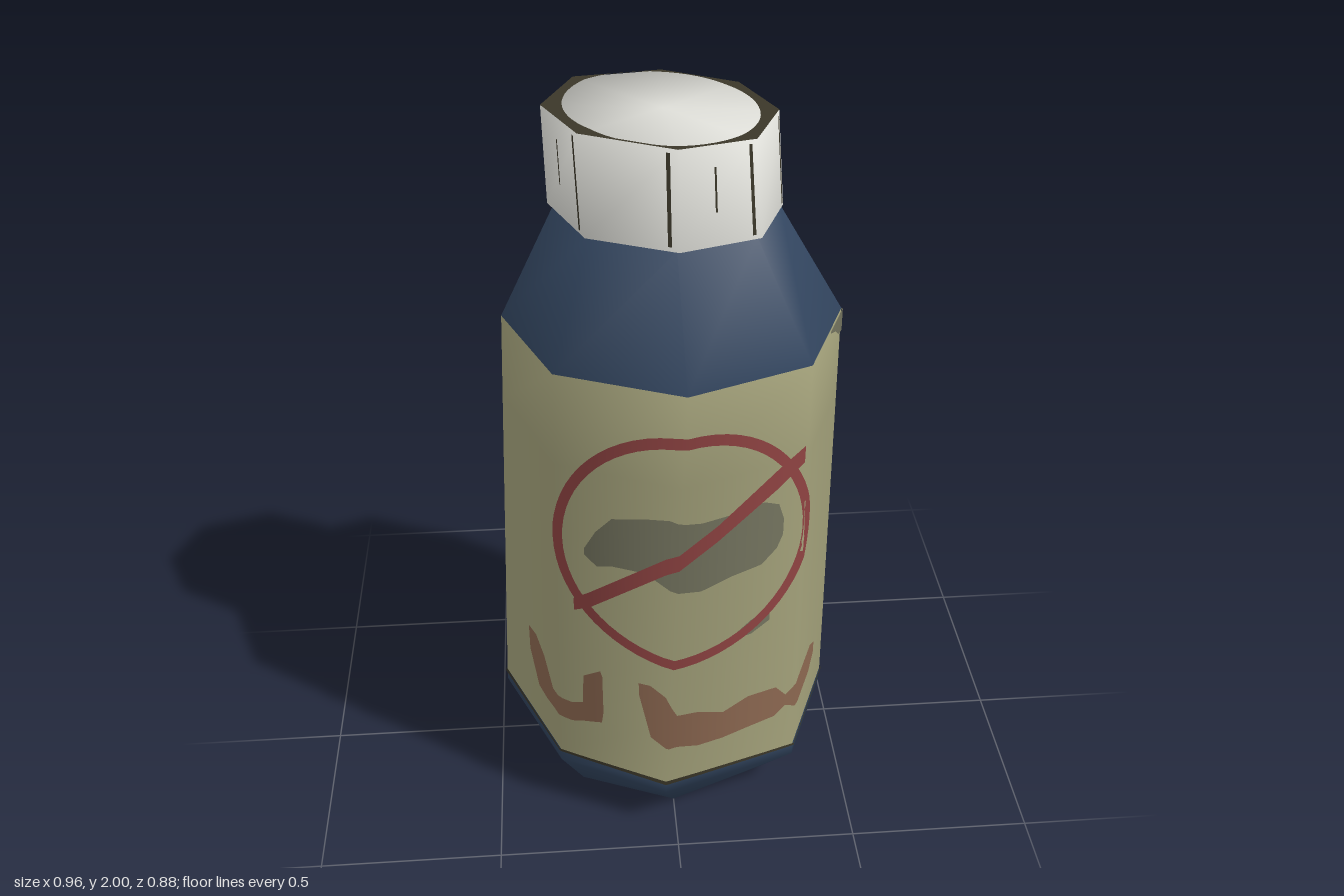
import * as THREE from 'three';

const mat = (name, color, side = THREE.FrontSide) => {
  const m = new THREE.MeshStandardMaterial({ color, side });
  m.name = name;
  return m;
};

// Octagonal rings: x and y at left, half-left, middle, half-right, right; z is the depth radius
const ring = (x, y, z) => ({ x, y, z });
const base = ring([-0.37, -0.26, 0, 0.26, 0.36], [0.02, 0.01, 0, 0.01, 0.015], 0.33);
const lower = ring([-0.475, -0.32, -0.03, 0.345, 0.475], [0.205, 0.17, 0.145, 0.14, 0.14], 0.435);
const upper = ring([-0.415, -0.29, 0.02, 0.33, 0.455], [1.45, 1.46, 1.46, 1.455, 1.435], 0.435);
const neck = ring([-0.27, -0.19, 0.01, 0.205, 0.283], [1.75, 1.745, 1.735, 1.73, 1.73], 0.24);
const capLow = ring([-0.285, -0.2, 0.015, 0.215, 0.29], [1.755, 1.745, 1.735, 1.73, 1.73], 0.25);
const capHigh = ring([-0.29, -0.21, 0.01, 0.195, 0.27], [2, 2, 1.985, 1.975, 1.972], 0.25);

const COLUMN = [4, 3, 2, 1, 0, 1, 2, 3];
const DEPTH = [0, 0.71, 1, 0.71, 0, -0.71, -1, -0.71];
const corner = (r, k) => {
  const i = ((k % 8) + 8) % 8;
  return new THREE.Vector3(r.x[COLUMN[i]], r.y[COLUMN[i]], r.z * DEPTH[i]);
};
const mix = (a, b, t) => {
  const f = (p, q) => p.map((v, i) => v + (q[i] - v) * t);
  return ring(f(a.x, b.x), f(a.y, b.y), a.z + (b.z - a.z) * t);
};
// Point at u (0..8 around the ring)
const along = (r, u) => {
  const k = Math.floor(u);
  return corner(r, k).lerp(corner(r, k + 1), u - k);
};
const outward = (p) => new THREE.Vector3(p.x - 0.01, 0, p.z).normalize();

// Skin over a stack of rings with both ends closed; pick(row, side) chooses the material
function loft(rings, pick, closeBottom = true) {
  const pos = [], faces = [[], []], n = rings.length;
  rings.forEach((r) => { for (let k = 0; k < 8; k++) pos.push(...corner(r, k).toArray()); });
  for (const r of [rings[0], rings[n - 1]]) {
    const c = new THREE.Vector3();
    for (let k = 0; k < 8; k++) c.addScaledVector(corner(r, k), 1 / 8);
    pos.push(...c.toArray());
  }
  for (let k = 0; k < 8; k++) {
    const j = (k + 1) % 8;
    for (let r = 0; r < n - 1; r++) {
      const a = r * 8 + k, b = r * 8 + j;
      faces[pick(r, k)].push(a, a + 8, b, b, a + 8, b + 8);
    }
    if (closeBottom) faces[0].push(n * 8, k, j);
    faces[0].push(n * 8 + 1, (n - 1) * 8 + j, (n - 1) * 8 + k);
  }
  const g = new THREE.BufferGeometry();
  g.setAttribute('position', new THREE.Float32BufferAttribute(pos, 3));
  g.setIndex([...faces[0], ...faces[1]]);
  g.addGroup(0, faces[0].length, 0);
  if (faces[1].length) g.addGroup(faces[0].length, faces[1].length, 1);
  g.computeVertexNormals();
  return g;
}

// Front x, y to a point laid on the body wall
function onBody(x, y, offset) {
  let t = (y - 0.16) / 1.29, p;
  for (let pass = 0; pass < 3; pass++) {
    const r = mix(lower, upper, t);
    const xs = r.x;
    const cx = Math.min(Math.max(x, xs[0]), xs[4]);
    let i = 0;
    while (i < 3 && cx > xs[i + 1]) i++;
    const u = 4 - i - (cx - xs[i]) / (xs[i + 1] - xs[i]);
    const a = along(lower, u), b = along(upper, u);
    t = Math.min(1, (y - a.y) / (b.y - a.y));
    p = a.lerp(b, t);
  }
  return p.addScaledVector(outward(p), offset);
}

// Band of quads between two rows of points; the first row lies left of travel
function band(left, right, normalOf) {
  const pos = [], nor = [], idx = [];
  left.forEach((a, i) => {
    for (const p of [a, right[i]]) {
      pos.push(...p.toArray());
      nor.push(...normalOf(p).toArray());
    }
    if (i) idx.push(2 * i - 1, 2 * i + 1, 2 * i - 2, 2 * i - 2, 2 * i + 1, 2 * i);
  });
  const g = new THREE.BufferGeometry();
  g.setAttribute('position', new THREE.Float32BufferAttribute(pos, 3));
  g.setAttribute('normal', new THREE.Float32BufferAttribute(nor, 3));
  g.setIndex(idx);
  return g;
}

export function createModel() {
  const model = new THREE.Group();
  const navy = mat('navy bottle', 0x32455f);
  const paper = mat('olive label', 0xa3a17a);
  const white = mat('white cap', 0xdcdcd6);
  const red = mat('red print', 0x8f4342, THREE.DoubleSide);
  const grey = mat('grey print', 0x74745f, THREE.DoubleSide);
  const brown = mat('brown print', 0x8b6750, THREE.DoubleSide);
  const dark = mat('dark edge', 0x3b3729, THREE.DoubleSide);
  const add = (name, geometry, material) => {
    const m = new THREE.Mesh(geometry, material);
    m.name = name;
    model.add(m);
  };

  // Bottle, with the label covering the front half of its wall
  const wall = [0, 0.03, 0.2, 0.4, 0.6, 0.8, 1].map((t) => mix(lower, upper, t));
  add('bottle', loft([base, ...wall, neck], (r, k) => (r >= 2 && r <= 6 && k < 4 ? 1 : 0)), [navy, paper]);
  add('cap', loft([capLow, capHigh], () => 0, false), white);

  // Smear from [x, low, high] columns, split finely so that it hugs the wall
  const smear = (name, cols, material, offset = 0.004) => {
    const top = [], bottom = [];
    for (let i = 0; i < cols.length - 1; i++) {
      for (let s = 0; s <= 4; s++) {
        const [x, lo, hi] = cols[i].map((v, c) => v + (cols[i + 1][c] - v) * s / 4);
        top.push(onBody(x, hi, offset));
        bottom.push(onBody(x, lo, offset));
      }
    }
    add(name, band(top, bottom, outward), material);
  };
  smear('greyBlot', [[-0.23, 0.94, 0.96], [-0.2, 0.91, 1.02], [-0.16, 0.92, 1.07], [-0.08, 0.92, 1.09],
    [-0.02, 0.88, 1.1], [0.06, 0.86, 1.08], [0.14, 0.88, 1.08], [0.22, 0.89, 1.09], [0.26, 0.93, 1.07],
    [0.275, 0.97, 1.02]], grey);
  smear('smallBlot', [[0.16, 0.66, 0.68], [0.2, 0.66, 0.71], [0.25, 0.69, 0.73]], grey);
  smear('leftSmear', [[-0.39, 0.46, 0.54], [-0.37, 0.36, 0.54], [-0.35, 0.35, 0.5], [-0.33, 0.35, 0.42],
    [-0.28, 0.34, 0.41], [-0.25, 0.35, 0.42], [-0.245, 0.35, 0.52], [-0.2, 0.36, 0.55], [-0.195, 0.4, 0.53]], brown);
  smear('rightSmear', [[-0.1, 0.5, 0.54], [-0.07, 0.35, 0.54], [-0.03, 0.32, 0.51], [0, 0.32, 0.44],
    [0.06, 0.3, 0.43], [0.13, 0.3, 0.4], [0.2, 0.31, 0.43], [0.28, 0.32, 0.43], [0.31, 0.35, 0.39],
    [0.35, 0.33, 0.43], [0.4, 0.33, 0.43], [0.42, 0.36, 0.4]], brown);
  smear('tornCorner', [[0.4, 1.44, 1.46], [0.425, 1.41, 1.455], [0.44, 1.38, 1.45], [0.456, 1.37, 1.44]], grey);
  smear('labelEdge', [[-0.474, 0.235, 0.25], [-0.32, 0.205, 0.213], [-0.03, 0.178, 0.192],
    [0.345, 0.175, 0.183], [0.474, 0.175, 0.185]], dark);

  // Red ring and slanted bar
  const outer = [], inner = [];
  for (let i = 0; i <= 64; i++) {
    const a = -i / 64 * Math.PI * 2, c = Math.cos(a), s = Math.sin(a);
    outer.push(onBody(0.022 + 0.328 * c, 0.98 + 0.366 * s, 0.006));
    inner.push(onBody(0.022 + 0.304 * c, 0.98 + 0.334 * s, 0.006));
  }
  add('redRing', band(outer, inner, outward), red);
  smear('redBar', [[-0.26, 0.75, 0.79], [-0.22, 0.77, 0.82], [-0.03, 0.93, 0.98], [0.1, 1.01, 1.06],
    [0.25, 1.12, 1.18], [0.32, 1.18, 1.23]], red, 0.007);

  // Dark seams around the cap: long ones at the corners, short ones between
  const seam = (u, half, from, to) => {
    const rows = [to, from].map((t) => [u + half, u - half].map((v) => {
      const p = along(mix(capLow, capHigh, t), v + 8);
      return p.addScaledVector(outward(p), 0.003);
    }));
    add('capSeam', band(rows[0], rows[1], outward), dark);
  };
  for (let k = 0; k < 8; k++) {
    seam(k + 0.1, 0.02, 0.05, 0.97);
    if (k % 2) seam(k + 0.55, 0.012, 0.35, 0.8);
  }

  // Dark worn corners on the cap's top
  const edge = [], worn = [];
  for (let i = 0; i <= 64; i++) {
    const p = along(capHigh, i / 8);
    const dx = p.x + 0.008, r = Math.hypot(dx, p.z);
    const s = Math.min(0.232 / r, 0.98);
    edge.push(p.clone().setY(p.y + 0.002));
    worn.push(new THREE.Vector3(dx * s - 0.008, p.y + 0.003, p.z * s));
  }
  add('capRim', band(worn.reverse(), edge.reverse(), () => new THREE.Vector3(0, 1, 0)), dark);
  return model;
}
